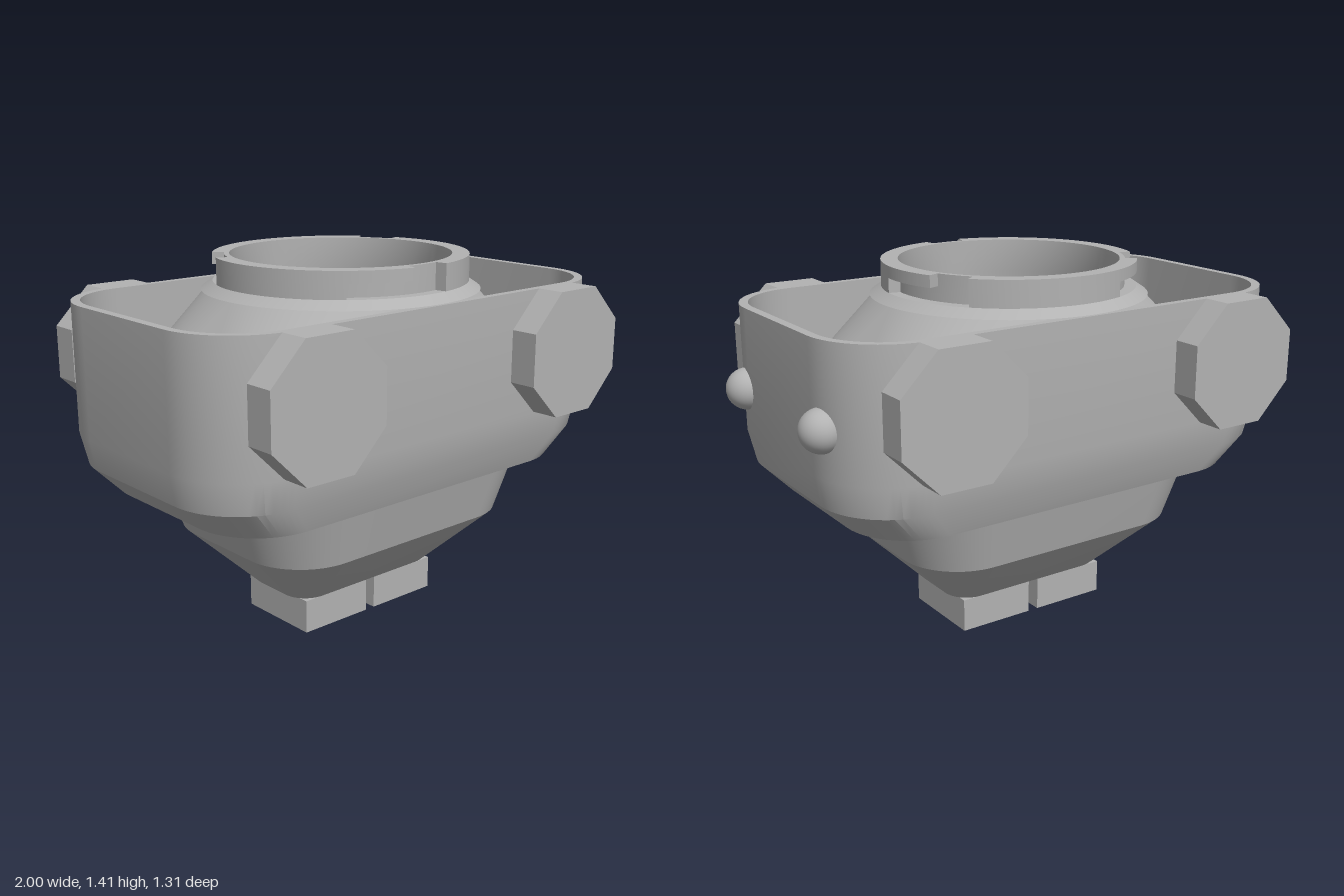
import * as THREE from 'three';
import { toCreasedNormals } from 'three/addons/utils/BufferGeometryUtils.js';

const CX = -0.035; // centre of the housing along x
const CORNER_STEPS = 16;

// Rounded rectangle outline at height y (a circle when hx = hz = r)
function section([y, hx, hz, r]) {
  const pts = [];
  [[1, 1], [-1, 1], [-1, -1], [1, -1]].forEach(([sx, sz], q) => {
    for (let i = 0; i <= CORNER_STEPS; i++) {
      const a = (q + i / CORNER_STEPS) * Math.PI / 2;
      pts.push([sx * (hx - r) + r * Math.cos(a), y, -(sz * (hz - r) + r * Math.sin(a))]);
    }
  });
  return pts;
}

// Skin through a list of sections
function loft(profile, crease = 0.4) {
  const rings = profile.map(section);
  const n = rings[0].length;
  const pos = [];
  const tri = (...v) => {
    const [a, b, c] = v.map((p) => new THREE.Vector3(...p));
    if (b.sub(a).cross(c.sub(a)).length() > 1e-9) v.forEach((p) => pos.push(...p));
  };
  for (let k = 0; k < rings.length - 1; k++) {
    for (let i = 0; i < n; i++) {
      const j = (i + 1) % n;
      const lo = rings[k], hi = rings[k + 1];
      tri(lo[i], lo[j], hi[j]);
      tri(lo[i], hi[j], hi[i]);
    }
  }
  const geo = new THREE.BufferGeometry();
  geo.setAttribute('position', new THREE.Float32BufferAttribute(pos, 3));
  return toCreasedNormals(geo, crease);
}

// Curved block between two radii, two angles (degrees) and two heights
function arcBlock(r0, r1, a0, a1, y0, y1) {
  const [s, e] = [a0, a1].map(THREE.MathUtils.degToRad);
  const shape = new THREE.Shape();
  shape.absarc(0, 0, r1, s, e, false);
  shape.absarc(0, 0, r0, e, s, true);
  const geo = new THREE.ExtrudeGeometry(shape, { depth: y1 - y0, bevelEnabled: false, curveSegments: 16 });
  geo.rotateX(-Math.PI / 2).translate(0, y0, 0);
  return toCreasedNormals(geo, 0.4);
}

export function createModel() {
  const model = new THREE.Group();
  const grey = new THREE.MeshStandardMaterial({ color: 0xb2b2b2 });
  grey.name = 'grey';
  const add = (name, geo, x = 0, y = 0, z = 0) => {
    const mesh = new THREE.Mesh(geo, grey);
    mesh.name = name;
    mesh.position.set(x, y, z);
    model.add(mesh);
    return mesh;
  };

  // Tapered underside, stepped outer shell, rim, inner wall and sloping deck
  add('housing', loft([
    [0.13, 0.2, 0.001, 0.001],
    [0.13, 0.35, 0.175, 0.1],
    [0.37, 0.59, 0.42, 0.24],
    [0.57, 0.66, 0.47, 0.28],
    [0.57, 0.835, 0.485, 0.26],
    [0.68, 0.94, 0.525, 0.28],
    [0.80, 0.965, 0.545, 0.29],
    [1.28, 0.965, 0.545, 0.29],
    [1.28, 0.932, 0.514, 0.26],
    [0.80, 0.932, 0.514, 0.26],
    [1.28, 0.513, 0.513, 0.513],
  ]), CX);

  // Flared collar and the core of the mounting ring
  const round = (y, r) => [y, r, r, r];
  add('collar', loft([
    round(1.28, 0.53), round(1.31, 0.485), round(1.31, 0.44), round(1.41, 0.44), round(1.41, 0.42),
  ]), CX);

  // Hollow inside, down to the small floor
  add('funnel', loft([
    round(1.41, 0.42),
    round(1.28, 0.42),
    [0.57, 0.62, 0.43, 0.26],
    [0.37, 0.555, 0.385, 0.21],
    [0.16, 0.32, 0.14, 0.08],
    [0.16, 0.2, 0.001, 0.001],
  ]), CX);

  // Outer layer of the ring with three L-shaped locking slots
  for (const a of [30, 150, 270]) {
    add('ringWall', arcBlock(0.438, 0.485, a + 9, a + 81, 1.31, 1.41), CX);
    add('slotLip', arcBlock(0.438, 0.485, a - 39, a - 9, 1.365, 1.41), CX);
  }

  // Octagonal pads on front and back
  const c = 0.1, h = 0.24;
  const octagon = new THREE.Shape(
    [[-c, -h], [c, -h], [h, -c], [h, c], [c, h], [-c, h], [-h, c], [-h, -c]]
      .map(([x, y]) => new THREE.Vector2(x, y)));
  const padGeo = new THREE.ExtrudeGeometry(octagon, { depth: 0.115, bevelEnabled: false });
  for (const x of [-0.65, 0.577]) {
    add('frontPad', padGeo, x, 1.04, 0.54);
    add('backPad', padGeo, x, 1.04, -0.655);
  }

  // Round knobs through the left wall
  const knobGeo = new THREE.SphereGeometry(0.078, 32, 20);
  for (const z of [-0.307, 0.307]) add('knob', knobGeo, 0.92, 0.97, z);

  // Two block feet
  const footGeo = new THREE.BoxGeometry(0.307, 0.13, 0.35);
  for (const x of [-0.212, 0.138]) add('foot', footGeo, x, 0.065, 0);

  return model;
}
